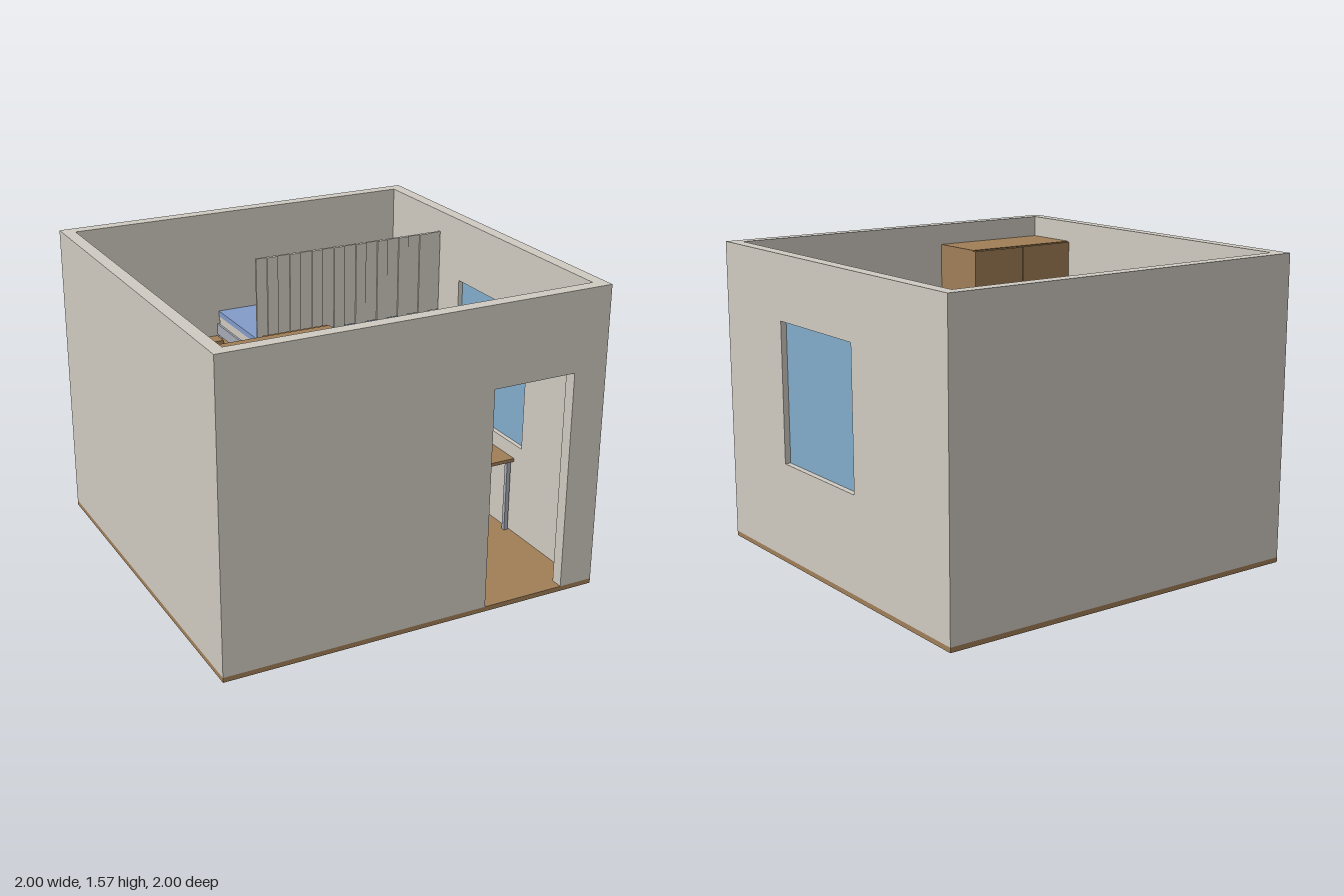
import * as THREE from 'three';

const mat = (name, color) => {
  const m = new THREE.MeshStandardMaterial({ color });
  m.name = name;
  return m;
};

export function createModel() {
  const plaster = mat('plaster', 0xcfcac1);
  const wood = mat('wood', 0xa07e57);
  const blue = mat('blueFabric', 0x829bc9);
  const glass = mat('glass', 0x82acca);
  const metal = mat('metal', 0xa6aab3);

  const room = new THREE.Group();
  room.name = 'bedroom';

  const group = (name) => {
    const g = new THREE.Group();
    g.name = name;
    room.add(g);
    return g;
  };
  // box given by its min and max along each axis
  const box = (parent, name, material, [x0, x1], [y0, y1], [z0, z1]) => {
    const mesh = new THREE.Mesh(new THREE.BoxGeometry(x1 - x0, y1 - y0, z1 - z0), material);
    mesh.position.set((x0 + x1) / 2, (y0 + y1) / 2, (z0 + z1) / 2);
    mesh.name = name;
    parent.add(mesh);
    return mesh;
  };

  const FLOOR = 0.025, TOP = 1.57, IN = 0.935, T = 1 - IN;

  // floor and walls
  const shell = group('shell');
  box(shell, 'floor', wood, [-1, 1], [0, FLOOR], [-1, 1]);
  box(shell, 'backWall', plaster, [-IN, IN], [FLOOR, TOP], [-1, -IN]);
  box(shell, 'rightWall', plaster, [-1, -IN], [FLOOR, TOP], [-1, 1]);

  const wallGeometry = (shape) => new THREE.ExtrudeGeometry(shape, { depth: T, bevelEnabled: false });
  const polygon = (pts) => new THREE.Shape(pts.map(([x, y]) => new THREE.Vector2(x, y)));

  // front wall with doorway
  const front = new THREE.Mesh(wallGeometry(polygon([
    [-IN, FLOOR], [0.38, FLOOR], [0.38, 1.16], [0.82, 1.16],
    [0.82, FLOOR], [IN, FLOOR], [IN, TOP], [-IN, TOP],
  ])), plaster);
  front.position.z = IN;
  front.name = 'frontWall';
  shell.add(front);

  // window wall: shape x runs along -z
  const side = polygon([[-1, FLOOR], [1, FLOOR], [1, TOP], [-1, TOP]]);
  side.holes.push(polygon([[-0.44, 0.52], [-0.44, 1.24], [0.22, 1.24], [0.22, 0.52]]));
  const windowWall = new THREE.Mesh(wallGeometry(side), plaster);
  windowWall.rotation.y = Math.PI / 2;
  windowWall.position.x = IN;
  windowWall.name = 'windowWall';
  shell.add(windowWall);
  box(shell, 'windowPane', glass, [0.96, 0.97], [0.52, 1.24], [-0.22, 0.44]);

  // low bed
  const bed = group('lowBed');
  box(bed, 'bedFrame', wood, [-0.934, -0.415], [FLOOR, 0.18], [-0.934, 0.162]);
  box(bed, 'mattress', plaster, [-0.925, -0.425], [0.18, 0.275], [-0.925, 0.155]);
  box(bed, 'blanket', blue, [-0.927, -0.423], [0.265, 0.29], [-0.69, 0.158]);
  box(bed, 'pillow', plaster, [-0.9, -0.45], [0.275, 0.315], [-0.905, -0.72]);

  // solid stairs climbing to the loft
  const stairs = group('stairs');
  const treads = 6, run = 0.0857;
  for (let i = 0; i < treads; i++) {
    const z = -0.42 - i * run;
    box(stairs, 'step', wood, [-0.414, -0.165], [FLOOR, FLOOR + 0.142 * (i + 1)], [z - run, z]);
  }

  // loft bed with guard boards
  const loft = group('loftBed');
  box(loft, 'loftPlatform', metal, [-0.164, 0.934], [0.885, 0.945], [-0.934, -0.415]);
  box(loft, 'loftMattress', plaster, [-0.153, 0.925], [0.945, 1.0], [-0.925, -0.43]);
  box(loft, 'loftBlanket', blue, [-0.155, 0.685], [0.99, 1.02], [-0.928, -0.428]);
  box(loft, 'loftPillow', plaster, [0.71, 0.9], [1.0, 1.04], [-0.9, -0.455]);
  box(loft, 'guardPanel', plaster, [-0.16, 0.93], [1.02, 1.46], [-0.426, -0.415]);
  for (let i = 0; i < 8; i++) {
    const x = -0.04 + i * 0.1286;
    box(loft, 'guardSlat', plaster, [x - 0.06, x], [1.02, 1.46], [-0.428, -0.408]);
  }

  // wardrobe below the loft
  const wardrobe = group('loftWardrobe');
  box(wardrobe, 'wardrobeCase', plaster, [0.435, 0.934], [FLOOR, 0.885], [-0.934, -0.47]);
  for (const [x0, x1, h] of [[0.465, 0.704, 0.68], [0.706, 0.93, 0.715]]) {
    box(wardrobe, 'wardrobeDoor', wood, [x0, x1], [0.08, 0.855], [-0.47, -0.455]);
    box(wardrobe, 'doorHandle', metal, [h - 0.006, h + 0.006], [0.385, 0.55], [-0.455, -0.44]);
  }

  // desks: thin top on four square legs
  const desk = (name, [x0, x1], [z0, z1]) => {
    const g = group(name);
    box(g, 'deskTop', wood, [x0, x1], [0.425, 0.443], [z0, z1]);
    for (const x of [x0 + 0.02, x1 - 0.02])
      for (const z of [z0 + 0.025, z1 - 0.025])
        box(g, 'deskLeg', metal, [x - 0.011, x + 0.011], [FLOOR, 0.425], [z - 0.011, z + 0.011]);
  };
  desk('windowDesk', [0.63, 0.934], [-0.22, 0.38]);
  desk('loftDesk', [-0.16, 0.434], [-0.934, -0.5]);
  box(room, 'wallCabinet', wood, [-0.16, 0.434], [0.53, 0.855], [-0.934, -0.75]);

  // tall closet with sliding doors facing the back
  const closet = group('closet');
  box(closet, 'closetCase', wood, [-0.934, -0.28], [FLOOR, 1.46], [0.63, 0.934]);
  box(closet, 'innerDoor', wood, [-0.934, -0.615], [0.05, 1.455], [0.62, 0.63]);
  box(closet, 'outerDoor', wood, [-0.6, -0.28], [0.05, 1.455], [0.608, 0.63]);
  box(closet, 'closetHandle', metal, [-0.613, -0.603], [0.6, 0.85], [0.608, 0.63]);

  // coat rack beside the doorway
  const rack = group('coatRack');
  box(rack, 'rackBoard', wood, [-0.245, -0.03], [0.94, 1.0], [0.922, 0.934]);
  for (const x of [-0.2, -0.14, -0.065])
    box(rack, 'coatHook', metal, [x - 0.005, x + 0.005], [0.95, 0.98], [0.905, 0.922]);

  return room;
}
